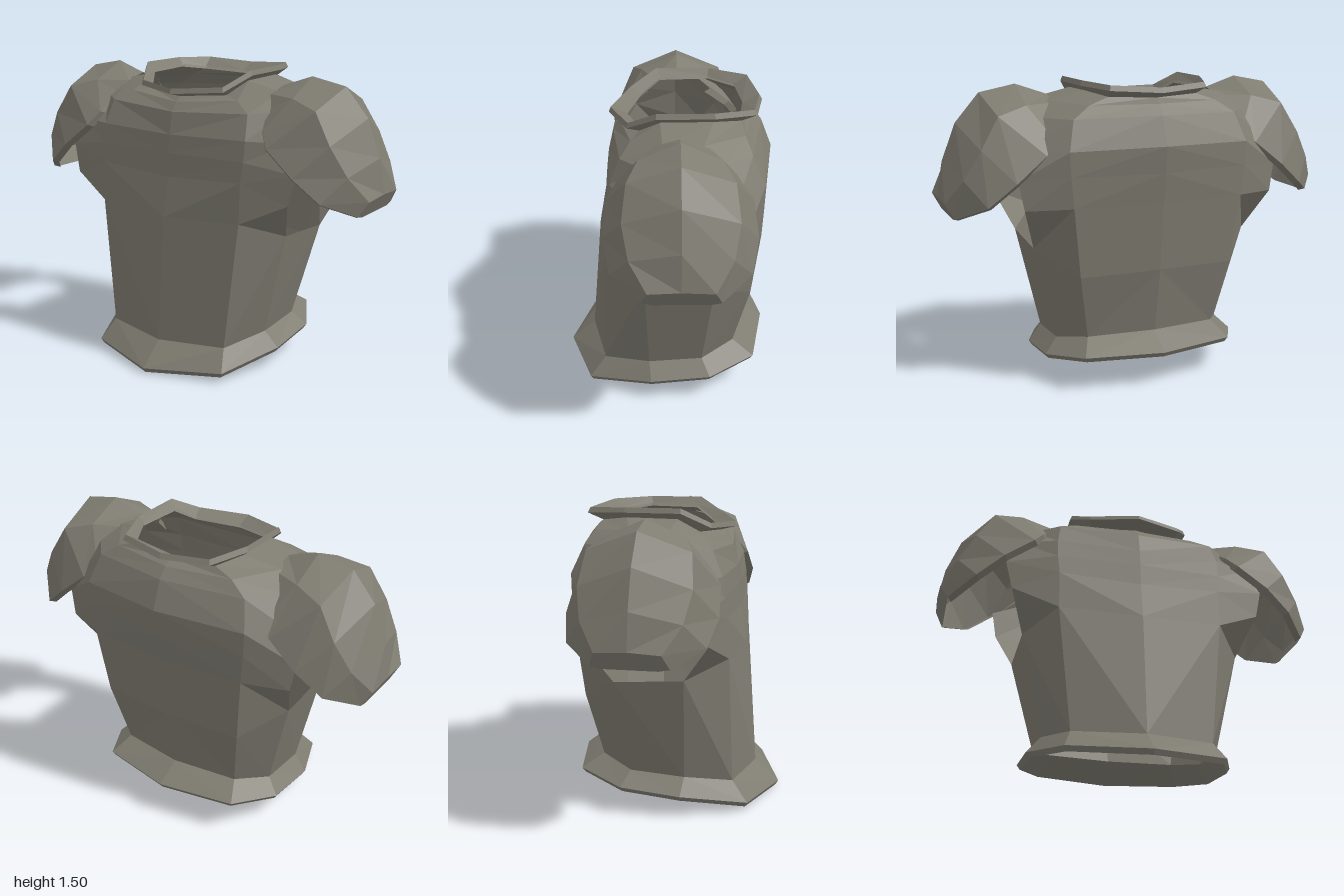
import * as THREE from 'three';

const steel = new THREE.MeshStandardMaterial({ color: 0x7f7c71, side: THREE.DoubleSide, flatShading: true });
steel.name = 'dullSteel';

// Quad strip surface through rows of points; open(r, c) leaves a gap
function loft(rows, open = () => false) {
  const pos = [];
  for (let r = 0; r < rows.length - 1; r++) {
    for (let c = 0; c < rows[r].length - 1; c++) {
      if (open(r, c)) continue;
      const a = rows[r][c], b = rows[r][c + 1], d = rows[r + 1][c + 1], e = rows[r + 1][c];
      pos.push(...a, ...b, ...d, ...a, ...d, ...e);
    }
  }
  return pos;
}

// Mirror triangles across x, reversing the corner order
function mirrored(pos) {
  const out = [];
  for (let i = 0; i < pos.length; i += 9) {
    for (const k of [0, 6, 3]) out.push(-pos[i + k], pos[i + k + 1], pos[i + k + 2]);
  }
  return out;
}

function mesh(name, pos) {
  const g = new THREE.BufferGeometry();
  g.setAttribute('position', new THREE.Float32BufferAttribute(pos, 3));
  g.computeVertexNormals();
  const m = new THREE.Mesh(g, steel);
  m.name = name;
  return m;
}

const both = (pos) => [...pos, ...mirrored(pos)];
const shift = (row, s, dy) => row.map(([x, y, z]) => [x * s, y + dy, z * s]);

export function createModel() {
  const model = new THREE.Group();
  model.name = 'breastplateArmour';

  // Half sections, from front centre round the side to back centre
  const waist = [[0, .14, .4], [.35, .15, .32], [.45, .19, .09], [.45, .21, -.18], [.34, .25, -.345], [0, .26, -.4]];
  const neck = [[0, 1.37, .2], [.23, 1.385, .13], [.29, 1.45, .03], [.295, 1.455, -.22], [.23, 1.435, -.355], [0, 1.425, -.385]];
  const torso = [
    waist,
    [[0, .78, .345], [.42, .8, .305], [.57, .72, .11], [.575, .7, -.23], [.4, .58, -.42], [0, .59, -.46]],
    [[0, .98, .31], [.42, 1, .295], [.65, .91, .24], [.655, .92, -.37], [.44, .93, -.455], [0, .93, -.495]],
    [[0, 1.1, .3], [.43, 1.1, .285], [.685, 1.06, .23], [.68, 1.06, -.36], [.455, 1.08, -.46], [0, 1.08, -.515]],
    [[0, 1.19, .29], [.43, 1.2, .27], [.62, 1.2, .2], [.62, 1.2, -.32], [.46, 1.2, -.46], [0, 1.21, -.53]],
    [[0, 1.3, .265], [.41, 1.32, .22], [.55, 1.33, .1], [.55, 1.34, -.25], [.42, 1.34, -.4], [0, 1.35, -.475]],
    [[0, 1.345, .23], [.32, 1.37, .17], [.47, 1.41, .02], [.47, 1.41, -.17], [.33, 1.4, -.37], [0, 1.4, -.43]],
    neck,
  ];
  // Arm openings stay free between the side columns
  model.add(mesh('torso', both(loft(torso, (r, c) => c === 2 && r >= 1 && r <= 5))));

  // Flared hem with a thin rim
  const hem = [[0, .025, .525], [.39, .05, .4], [.52, .11, .08], [.52, .14, -.22], [.39, .18, -.45], [0, .18, -.525]];
  model.add(mesh('hem', both(loft([shift(waist, .97, -.03), shift(hem, .97, -.025), hem, waist]))));

  // Collar flaring outward from the neck
  const collar = [[0, 1.39, .285], [.25, 1.405, .19], [.33, 1.48, .05], [.325, 1.48, -.23], [.25, 1.47, -.43], [0, 1.455, -.475]];
  model.add(mesh('collar', both(loft([neck, collar, shift(collar, .97, .025), shift(neck, .98, .015)]))));

  // Shoulder guard: rim, ridge and crest lines running from neck side to arm side
  const midZ = -.06;
  const rim = [[.46, 1.34, .12], [.5, 1.25, .23], [.55, 1.18, .28], [.7, 1.06, .295], [.83, .95, .26], [.955, .88, .12], [.955, .88, .12]];
  const ridge = [[.44, 1.4, .06], [.6, 1.4, .13], [.75, 1.36, .18], [.84, 1.21, .2], [.92, 1.07, .17], [.995, .95, .09], [.955, .87, .07]];
  const crest = [[.44, 1.43], [.6, 1.485], [.78, 1.45], [.9, 1.31], [.97, 1.13], [1, .96], [.955, .87]].map(([x, y]) => [x, y, midZ]);
  const lip = rim.map(([x, y, z]) => [x - .02, y - .012, z - .03]);
  const back = (line) => line.map(([x, y, z]) => [x, y, 2 * midZ - z]);
  const guard = loft([back(lip), back(rim), back(ridge), crest, ridge, rim, lip].reverse());
  model.add(mesh('leftShoulderGuard', guard));
  model.add(mesh('rightShoulderGuard', mirrored(guard)));

  return model;
}
